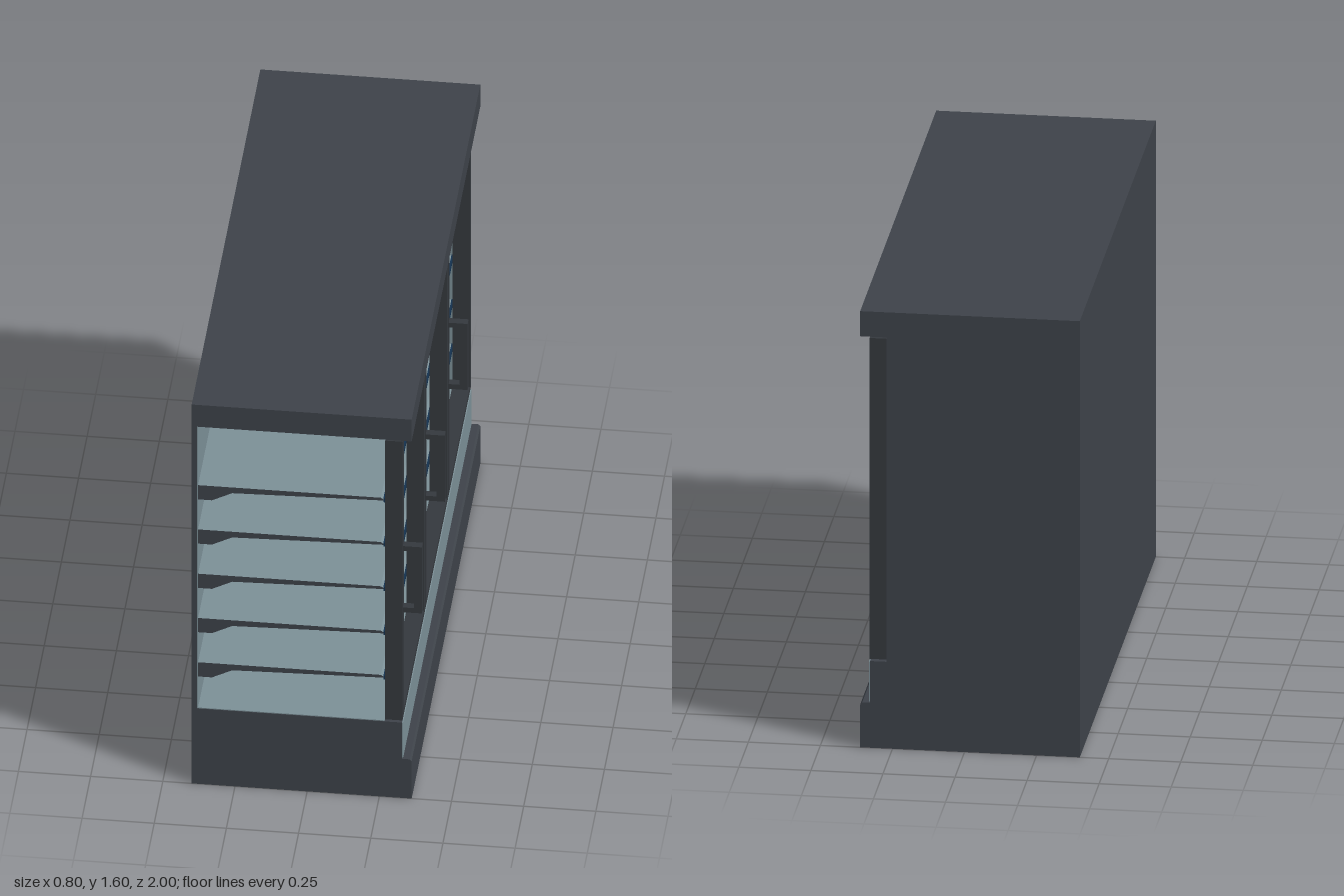
import * as THREE from 'three';

const material = (name, color, side = THREE.FrontSide) => {
  const m = new THREE.MeshStandardMaterial({ color, side });
  m.name = name;
  return m;
};

export function createModel() {
  const body = material('charcoal body', 0x3d4249);
  const frame = material('dark door frame', 0x34383d);
  const lining = material('pale blue grey lining', 0x7b8f96);
  const trim = material('navy shelf edge', 0x14324f);

  const root = new THREE.Group();
  root.name = 'displayCabinet';

  // Box given by its two corners
  const box = (name, mat, x0, x1, y0, y1, z0, z1, parent = root) => {
    const mesh = new THREE.Mesh(new THREE.BoxGeometry(x1 - x0, y1 - y0, z1 - z0), mat);
    mesh.position.set((x0 + x1) / 2, (y0 + y1) / 2, (z0 + z1) / 2);
    mesh.name = name;
    parent.add(mesh);
    return mesh;
  };

  // Side profile in x and y, swept along z
  const sweep = (name, mats, points, z0, z1, parent = root) => {
    const shape = new THREE.Shape(points.map(([x, y]) => new THREE.Vector2(x, y)));
    const geo = new THREE.ExtrudeGeometry(shape, { depth: z1 - z0, bevelEnabled: false });
    geo.translate(0, 0, z0);
    const mesh = new THREE.Mesh(geo, mats);
    mesh.name = name;
    parent.add(mesh);
    return mesh;
  };

  // Carcass: stepped base, back, canopy and the one closed end
  sweep('base', body, [
    [-0.4, 0], [0.362, 0], [0.362, 0.157], [0.355, 0.165],
    [0.328, 0.165], [0.328, 0.318], [-0.4, 0.318],
  ], -1, 1);
  box('backPanel', body, -0.4, -0.382, 0.318, 1.508, -1, 1);
  box('canopy', body, -0.4, 0.362, 1.508, 1.6, -1, 1);
  box('endWall', body, -0.382, 0.27, 0.318, 1.508, -1, -0.988);

  // Pale lining on the inside and the kick panel
  box('backLining', lining, -0.382, -0.378, 0.318, 1.508, -0.988, 0.998);
  box('endLining', lining, -0.378, 0.268, 0.318, 1.508, -0.988, -0.984);
  box('floorLining', lining, -0.378, 0.268, 0.318, 0.321, -0.984, 0.998);
  box('kickPanel', lining, 0.328, 0.332, 0.167, 0.315, -0.995, 0.995);

  // Shelves with thick rear brackets, dark ends and navy front edges
  for (const top of [1.26, 1.073, 0.886, 0.699, 0.512]) {
    const shelf = new THREE.Group();
    shelf.name = 'shelf';
    root.add(shelf);
    sweep('shelfBoard', [body, lining], [
      [-0.378, -0.06], [-0.33, -0.06], [-0.26, -0.024], [0.266, -0.011],
      [0.266, -0.008], [0.255, 0], [-0.378, 0],
    ].map(([x, y]) => [x, top + y]), -0.984, 0.998, shelf);
    box('shelfEdge', trim, 0.264, 0.27, top - 0.018, top - 0.001, -0.984, 0.998, shelf);
  }

  // Three open-framed doors, each with a pull handle
  const width = 2 / 3;
  for (let i = 0; i < 3; i++) {
    const door = new THREE.Group();
    door.name = 'door';
    root.add(door);
    const z1 = 1 - i * width - 0.003;
    const z0 = 1 - (i + 1) * width + 0.003;
    box('doorStile', frame, 0.27, 0.33, 0.325, 1.502, z1 - 0.036, z1, door);
    box('doorStile', frame, 0.27, 0.33, 0.325, 1.502, z0, z0 + 0.036, door);
    box('doorRail', frame, 0.27, 0.33, 0.325, 0.348, z0 + 0.036, z1 - 0.036, door);
    box('doorRail', frame, 0.27, 0.33, 1.484, 1.502, z0 + 0.036, z1 - 0.036, door);

    const h0 = z1 - 0.037, h1 = z1 - 0.009;
    box('handleGrip', frame, 0.368, 0.396, 0.776, 1.055, h0, h1, door);
    box('handlePost', frame, 0.33, 0.368, 0.776, 0.796, h0, h1, door);
    box('handlePost', frame, 0.33, 0.368, 1.035, 1.055, h0, h1, door);
  }

  return root;
}
